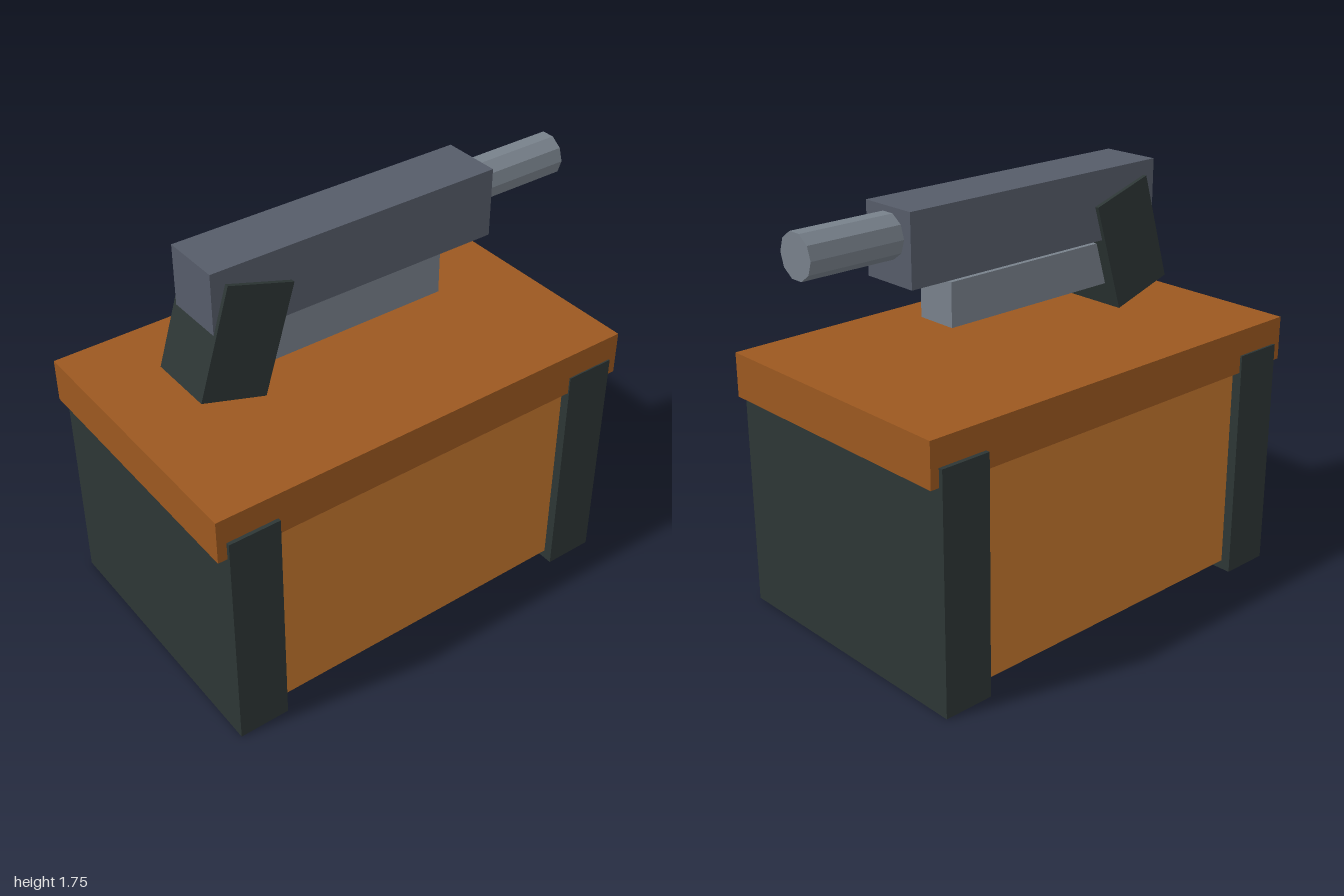
import * as THREE from 'three';

const mat = (name, color) => new THREE.MeshStandardMaterial({ name, color });

export function createModel() {
  const group = new THREE.Group();
  const wood = mat('light wood', 0xc2762d);
  const lidWood = mat('dark wood', 0x9c5820);
  const iron = mat('dark iron', 0x2d3635);
  const steel = mat('blue grey steel', 0x565c69);
  const paleSteel = mat('pale steel', 0x78818b);

  const add = (name, geometry, material) => {
    const mesh = new THREE.Mesh(geometry, material);
    mesh.name = name;
    group.add(mesh);
    return mesh;
  };
  // Box given by its extents on each axis
  const box = (name, [x0, x1], [y0, y1], [z0, z1], material) => {
    const mesh = add(name, new THREE.BoxGeometry(x1 - x0, y1 - y0, z1 - z0), material);
    mesh.position.set((x0 + x1) / 2, (y0 + y1) / 2, (z0 + z1) / 2);
    return mesh;
  };
  const rect = (path, w, h) => path
    .moveTo(-w / 2, -h / 2).lineTo(w / 2, -h / 2).lineTo(w / 2, h / 2).lineTo(-w / 2, h / 2).closePath();

  // Crate
  box('crateBody', [-0.945, 0.855], [0.04, 0.94], [-0.555, 0.555], wood);
  box('crateLid', [-1, 0.905], [0.92, 1.105], [-0.588, 0.588], lidWood);

  // Hollow end bands, open below so the crate floor shows inside
  for (const [name, x, z] of [['rightBand', -0.853, 0.003], ['leftBand', 0.76, -0.006]]) {
    const shape = new THREE.Shape();
    rect(shape, 0.216, 1.2);
    const hole = new THREE.Path();
    rect(hole, 0.18, 1.11);
    shape.holes.push(hole);
    const geometry = new THREE.ExtrudeGeometry(shape, { depth: 0.995, bevelEnabled: false });
    geometry.rotateX(-Math.PI / 2);
    add(name, geometry, iron).position.set(x, 0, z);
  }

  // Blaster floating above the lid
  box('receiver', [-0.69, 0.593], [1.455, 1.745], [-0.127, 0.127], steel);
  box('underBarrelBlock', [-0.55, 0.375], [1.252, 1.432], [-0.09, 0.09], paleSteel);

  const barrel = add('barrel',
    new THREE.CylinderGeometry(0.09, 0.09, 0.42, 10).toNonIndexed(), paleSteel);
  barrel.geometry.computeVertexNormals();
  barrel.rotation.z = -Math.PI / 2;
  barrel.position.set(0.79, 1.636, 0);

  const grip = add('grip', new THREE.BoxGeometry(0.292, 0.47, 0.287), iron);
  grip.rotation.z = -0.3;
  grip.position.set(-0.56, 1.418, 0);

  return group;
}
